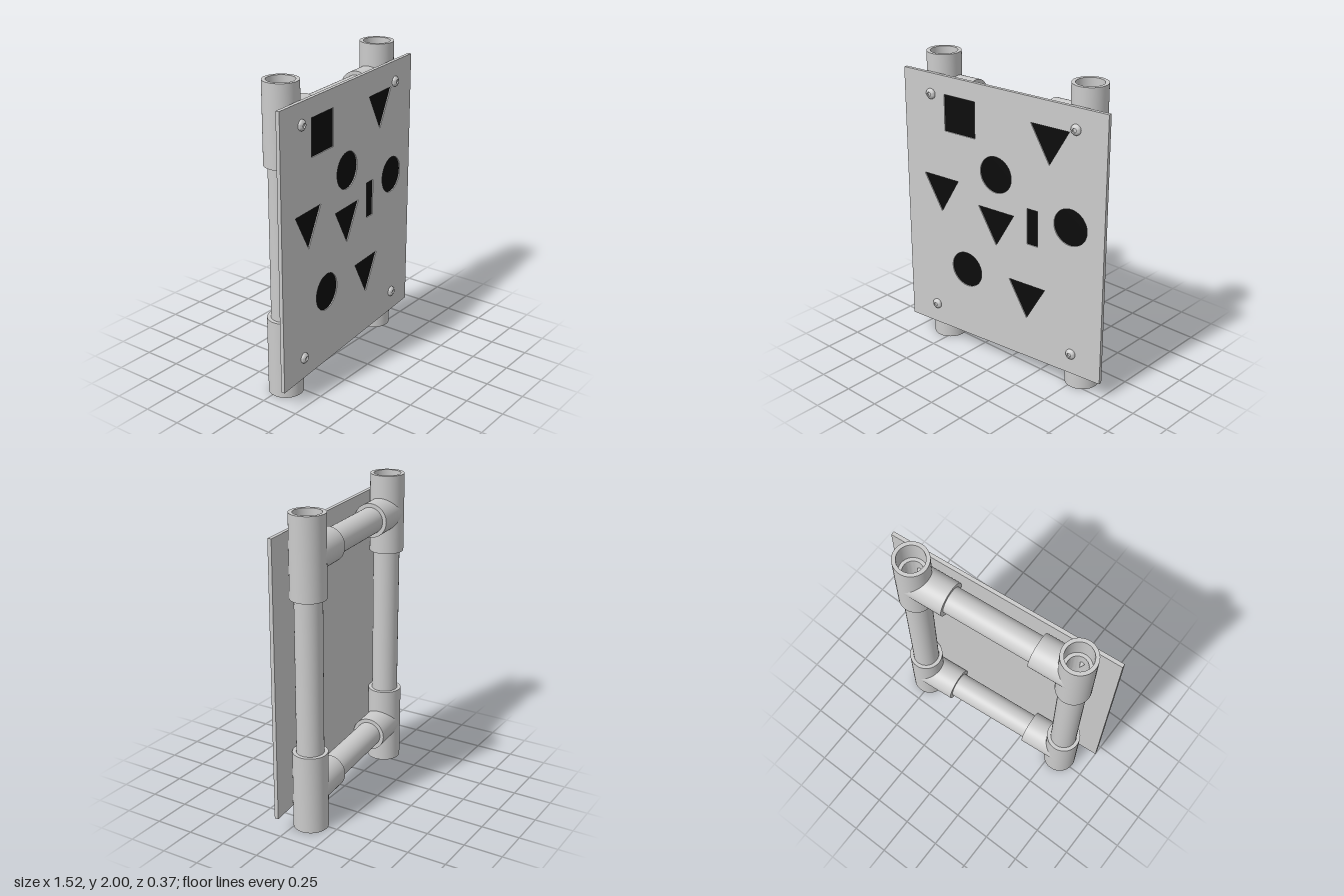
import * as THREE from 'three';
import { toCreasedNormals } from 'three/addons/utils/BufferGeometryUtils.js';

const R = 0.11;          // fitting radius
const PIPE = 0.085;      // pipe radius
const BORE = 0.064;      // pipe bore
const HALF = 0.255;      // half length of a tee, and length of its arm
const POST_X = 0.545;    // distance of each upright from the middle
const AXIS_Z = -0.029;   // depth of the pipe axes
const BACK = 0.082, FRONT = 0.106, RECESS = 0.008;

const grey = new THREE.MeshStandardMaterial({ color: 0xcccccc });
const black = new THREE.MeshStandardMaterial({ color: 0x0c0c0c });

function add(parent, name, geometry, x = 0, y = 0, z = 0, material = grey) {
  const mesh = new THREE.Mesh(geometry, material);
  mesh.name = name;
  mesh.position.set(x, y, z);
  parent.add(mesh);
  return mesh;
}

function lathe(points, segments = 48) {
  return new THREE.LatheGeometry(points.map(([r, y]) => new THREE.Vector2(r, y)), segments);
}

// Hollow pipe along y, centred on the origin
function pipe(length) {
  const h = length / 2;
  return toCreasedNormals(lathe([[BORE, -h], [PIPE, -h], [PIPE, h], [BORE, h], [BORE, -h]]), 0.6);
}

// Sleeve with a socket at each end and a narrower stop in the middle
function sleeve() {
  const s = 0.095, b = PIPE + 0.001;
  return toCreasedNormals(lathe([
    [b, -HALF], [R, -HALF], [R, HALF], [b, HALF], [b, s],
    [BORE, s], [BORE, -s], [b, -s], [b, -HALF],
  ]), 0.6);
}

// Side arm along +x, its root cut to a saddle that meets the sleeve
function sideArm() {
  const g = lathe([[R, 0], [R, HALF], [PIPE - 0.001, HALF]], 64);
  const p = g.attributes.position;
  for (let i = 0; i < p.count; i++) {
    if (p.getY(i) < 0.001) p.setY(i, Math.max(0, Math.abs(p.getX(i)) - 0.003));
  }
  g.rotateZ(-Math.PI / 2);
  return toCreasedNormals(g, 0.6);
}

// Outlines of the shapes let into the panel
function polygon(points) {
  return new THREE.Shape(points.map(([x, y]) => new THREE.Vector2(x, y)));
}
function rectangle(x, y, w, h) {
  return polygon([[x - w / 2, y - h / 2], [x + w / 2, y - h / 2], [x + w / 2, y + h / 2], [x - w / 2, y + h / 2]]);
}
function triangle(x, y, r = 0.16) {
  return polygon([-90, 30, 150].map(a => {
    const t = THREE.MathUtils.degToRad(a);
    return [x + r * Math.cos(t), y + r * Math.sin(t)];
  }));
}
function disc(x, y, r = 0.12) {
  return new THREE.Shape().absarc(x, y, r, 0, Math.PI * 2, false);
}

export function createModel() {
  const model = new THREE.Group();
  model.name = 'shapePanelOnPipeFrame';
  const body = new THREE.Group();
  body.name = 'body';
  body.position.x = -0.011;
  body.rotation.y = 0.0945;
  model.add(body);

  // Pipe frame
  const frame = new THREE.Group();
  frame.name = 'pipeFrame';
  frame.position.z = AXIS_Z;
  body.add(frame);
  const sleeveGeo = sleeve(), armGeo = sideArm();
  const postGeo = pipe(1.31), railGeo = pipe(2 * POST_X - 0.2).rotateZ(Math.PI / 2);
  for (const side of [-1, 1]) {
    add(frame, 'uprightPipe', postGeo, side * POST_X, 1, 0);
    for (const y of [HALF, 2 - HALF]) {
      const tee = new THREE.Group();
      tee.name = 'teeFitting';
      tee.position.set(side * POST_X, y, 0);
      if (side > 0) tee.rotation.y = Math.PI;
      add(tee, 'teeSleeve', sleeveGeo);
      add(tee, 'teeArm', armGeo);
      frame.add(tee);
    }
  }
  for (const y of [HALF, 2 - HALF]) add(frame, 'crossPipe', railGeo, 0, y, 0);

  // Panel: a solid backing and a thin face with cut-outs
  const shapes = [
    rectangle(-0.32, 1.645, 0.24, 0.24), rectangle(0.24, 1.045, 0.08, 0.24),
    triangle(0.36, 1.645), triangle(-0.48, 1.125), triangle(-0.04, 1.005), triangle(0.2, 0.562),
    disc(-0.04, 1.325), disc(0.52, 1.125), disc(-0.28, 0.6),
  ];
  const W = 1.524, H = 1.765, MID = 1.0025;
  const backing = FRONT - BACK - RECESS;
  add(body, 'panelBacking', new THREE.BoxGeometry(W, H, backing), 0, MID, BACK + backing / 2);
  const face = rectangle(0, MID, W, H);
  face.holes = shapes.map(s => new THREE.Path(s.getPoints(24)));
  add(body, 'panelFace', new THREE.ExtrudeGeometry(face, { depth: RECESS, bevelEnabled: false, curveSegments: 24 }),
    0, 0, FRONT - RECESS);
  for (const s of shapes) {
    add(body, 'inlaidShape', new THREE.ShapeGeometry(s, 24), 0, 0, FRONT - RECESS + 0.001, black);
  }

  // Screws: domed head with a socket, and a point that reaches into the bore
  const headGeo = toCreasedNormals(lathe([
    [0.034, 0], [0.034, 0.007], [0.03, 0.013], [0.022, 0.02], [0.014, 0.022], [0.014, 0.012], [0, 0.012],
  ], 24).rotateX(Math.PI / 2), 0.6);
  const shankGeo = lathe([[0, -0.105], [0.014, -0.075], [0.014, 0]], 16).rotateX(Math.PI / 2);
  for (const x of [-POST_X, POST_X]) {
    for (const y of [0.26, 1.75]) {
      add(body, 'screwHead', headGeo, x, y, FRONT);
      add(body, 'screwShank', shankGeo, x, y, FRONT);
    }
  }
  return model;
}
